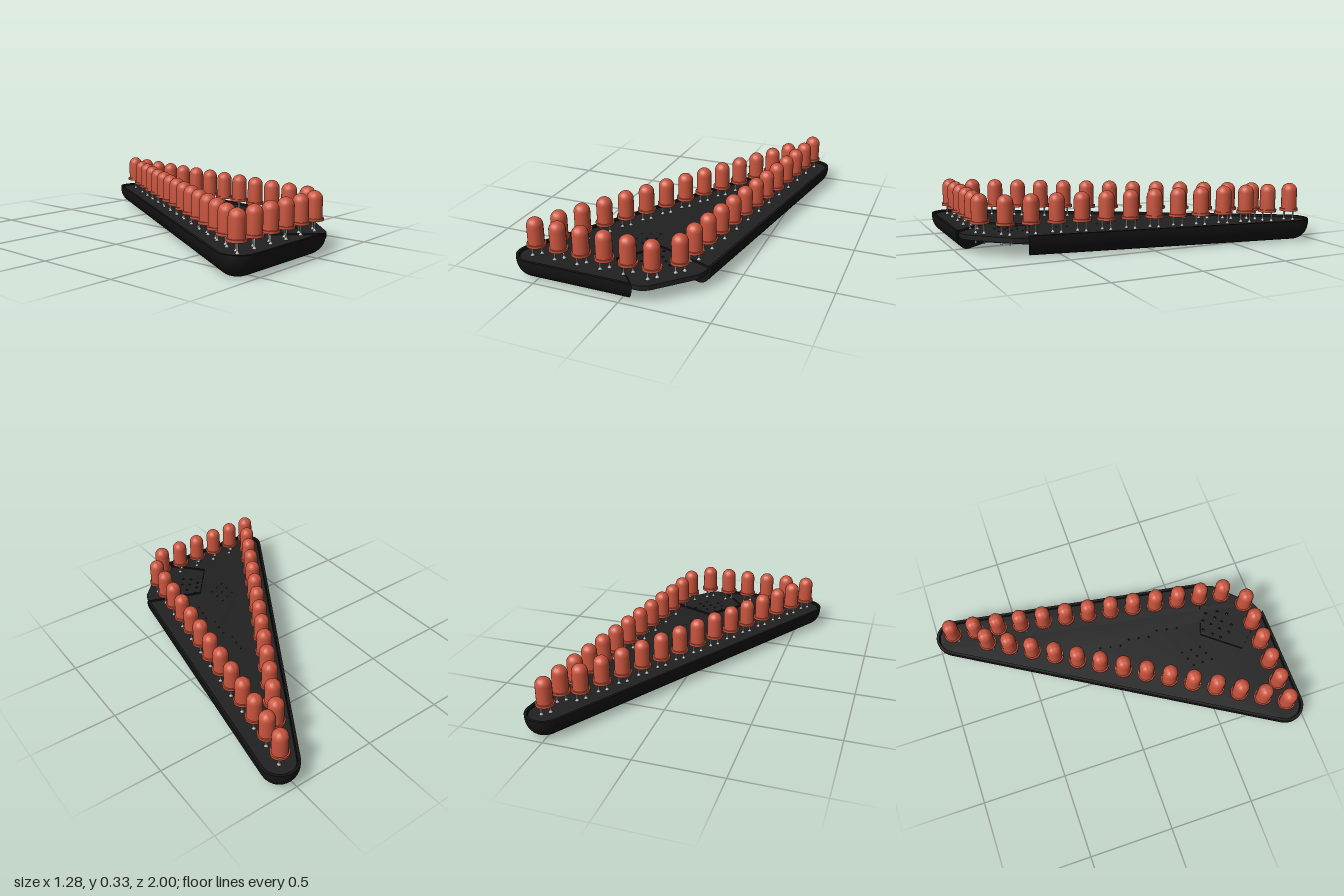
import * as THREE from 'three';
import { mergeGeometries, toCreasedNormals } from 'three/addons/utils/BufferGeometryUtils.js';

const V = (x, z) => new THREE.Vector2(x, z); // plan point (x, z)
const TIP = V(0.53, -0.89), HEEL = V(-0.535, 0.89);
const RIGHT = V(0.987, 0.161), LEFT = V(-0.858, -0.513); // outward normals of the long edges
const RECESS = [V(0.08, 1), V(-0.115, 0.78), V(0.054, 0.57), V(0.385, 0.69)];

// Rounded tip, long left edge and rounded heel, for a given corner radius
function roundedSide(r) {
  const pts = [];
  const arc = (c, from, to, n) => {
    for (let i = 0; i <= n; i++) {
      const a = from + (to - from) * i / n;
      pts.push(V(c.x + r * Math.cos(a), c.y - r * Math.sin(a)));
    }
  };
  const aR = Math.atan2(-RIGHT.y, RIGHT.x), aL = Math.atan2(-LEFT.y, LEFT.x);
  arc(TIP, aR, aL, 16);
  arc(HEEL, aL, Math.PI * 1.5, 12);
  return pts;
}

// Shell outline, ending on the side walls of the open corner recess
function shellOutline(r) {
  const [d, e, b, a] = RECESS;
  const t = (RIGHT.dot(TIP) + r - RIGHT.dot(a)) / (RIGHT.dot(b) - RIGHT.dot(a));
  const s = (HEEL.y + r - d.y) / (e.y - d.y);
  return [a.clone().lerp(b, t), ...roundedSide(r), d.clone().lerp(e, s), e, b];
}

// Tray skin: rounded underside, wall, lip, and a floor under the board
function shellGeometry() {
  const levels = [];
  for (let i = 0; i <= 8; i++) {
    const a = i / 8 * Math.PI / 2;
    levels.push([0.02 + 0.09 * Math.sin(a), 0.105 * (1 - Math.cos(a))]);
  }
  levels.push([0.11, 0.122], [0.094, 0.122], [0.094, 0.08]);
  const loops = levels.map(([r]) => shellOutline(r));
  const n = loops[0].length, pos = [], idx = [];
  loops.forEach((loop, k) => loop.forEach(p => pos.push(p.x, levels[k][1], p.y)));
  for (let k = 0; k < loops.length - 1; k++) {
    for (let j = 0; j < n; j++) {
      const a = k * n + j, b = k * n + (j + 1) % n;
      idx.push(a, b, b + n, a, b + n, a + n);
    }
  }
  const cap = (k, up) => {
    const flat = loops[k].map(p => V(p.x, -p.y));
    for (const [a, b, c] of THREE.ShapeUtils.triangulateShape(flat, [])) {
      const o = k * n;
      idx.push(o + a, o + (up ? b : c), o + (up ? c : b));
    }
  };
  cap(0, false);
  cap(loops.length - 1, true);
  const g = new THREE.BufferGeometry();
  g.setAttribute('position', new THREE.Float32BufferAttribute(pos, 3));
  g.setIndex(idx);
  return toCreasedNormals(g, 0.6);
}

// Circuit board with a chamfered corner and drilled holes
function boardGeometry() {
  const outline = [V(0.362, 0.72), ...roundedSide(0.09), V(0.115, 0.98), V(0.155, 0.96), V(0.345, 0.765)];
  const shape = new THREE.Shape(outline.map(p => V(p.x, -p.y)));
  const drill = (x, z, r) => shape.holes.push(new THREE.Path().absarc(x, -z, r, 0, Math.PI * 2, true));
  // Sound holes above the recess
  [[0.08, 0.6], [0.14, 0.62], [0.035, 0.645], [0.1, 0.66], [0.18, 0.655], [0, 0.685], [0.055, 0.7],
    [0.135, 0.7], [0.095, 0.73], [0.015, 0.745], [0.17, 0.73], [0.055, 0.78], [0.135, 0.78]]
    .forEach(([x, z]) => drill(x, z, 0.008));
  // Component holes along the middle
  for (let i = 0; i < 9; i++) {
    drill(0.17 - 0.012 * (i % 3), -0.05 + i * 0.062, 0.005);
    drill(-0.02 - 0.05 * (i % 3), 0.42 + 0.02 * i, 0.005);
  }
  const g = new THREE.ExtrudeGeometry(shape, { depth: 0.028, bevelEnabled: false, curveSegments: 5 });
  return g.rotateX(-Math.PI / 2).translate(0, 0.082, 0);
}

// Bulb: flange, cylinder and dome in one profile
function bulbGeometry() {
  const profile = [V(0, 0.166), V(0.053, 0.166), V(0.053, 0.181), V(0.045, 0.181)];
  for (let i = 0; i <= 7; i++) {
    const a = i / 7 * Math.PI / 2;
    profile.push(V(i === 7 ? 0 : 0.045 * Math.cos(a), 0.285 + 0.045 * Math.sin(a)));
  }
  return toCreasedNormals(new THREE.LatheGeometry(profile, 24), 0.7);
}

// Two wire legs with solder cones above and below the board
function legsGeometry() {
  const parts = [];
  for (const s of [-1, 1]) {
    const x = 0.018 * s, z = -0.018 * s;
    parts.push(new THREE.CylinderGeometry(0.005, 0.005, 0.116, 6).translate(x, 0.112, z));
    parts.push(new THREE.CylinderGeometry(0.005, 0.012, 0.012, 8).translate(x, 0.116, z));
    parts.push(new THREE.CylinderGeometry(0.012, 0.005, 0.016, 8).translate(x, 0.074, z));
  }
  return mergeGeometries(parts);
}

export function createModel() {
  const material = (name, color) => Object.assign(new THREE.MeshStandardMaterial({ color }), { name });
  const black = material('black plastic', 0x141414);
  const dark = material('dark board', 0x212121);
  const red = material('red bulb', 0xc9543d);
  const metal = material('pale metal', 0xb8b8b8);

  const model = new THREE.Group();
  model.name = 'lightBoard';
  const add = (name, geometry, mat, parent = model) => {
    const mesh = new THREE.Mesh(geometry, mat);
    mesh.name = name;
    parent.add(mesh);
    return mesh;
  };
  add('shell', shellGeometry(), black);
  add('board', boardGeometry(), dark);

  // Small contact under the board, inside the recess
  const contact = add('contact', new THREE.BoxGeometry(0.07, 0.01, 0.014), metal);
  contact.position.set(-0.03, 0.072, 0.82);
  contact.rotation.y = 0.9;

  // Three rows of lights
  const bulb = bulbGeometry(), legs = legsGeometry();
  const row = (name, from, to, count) => {
    for (let i = 0; i < count; i++) {
      const p = from.clone().lerp(to, i / (count - 1));
      const light = new THREE.Group();
      light.name = name + (i + 1);
      light.position.set(p.x, 0, p.y);
      add('bulb', bulb, red, light);
      add('legs', legs, metal, light);
      model.add(light);
    }
  };
  row('rightLight', V(0.525, -0.887), V(0.247, 0.773), 13);
  row('leftLight', V(0.407, -0.7), V(-0.463, 0.763), 13);
  row('frontLight', V(-0.535, 0.885), V(0.142, 0.885), 6);
  return model;
}
